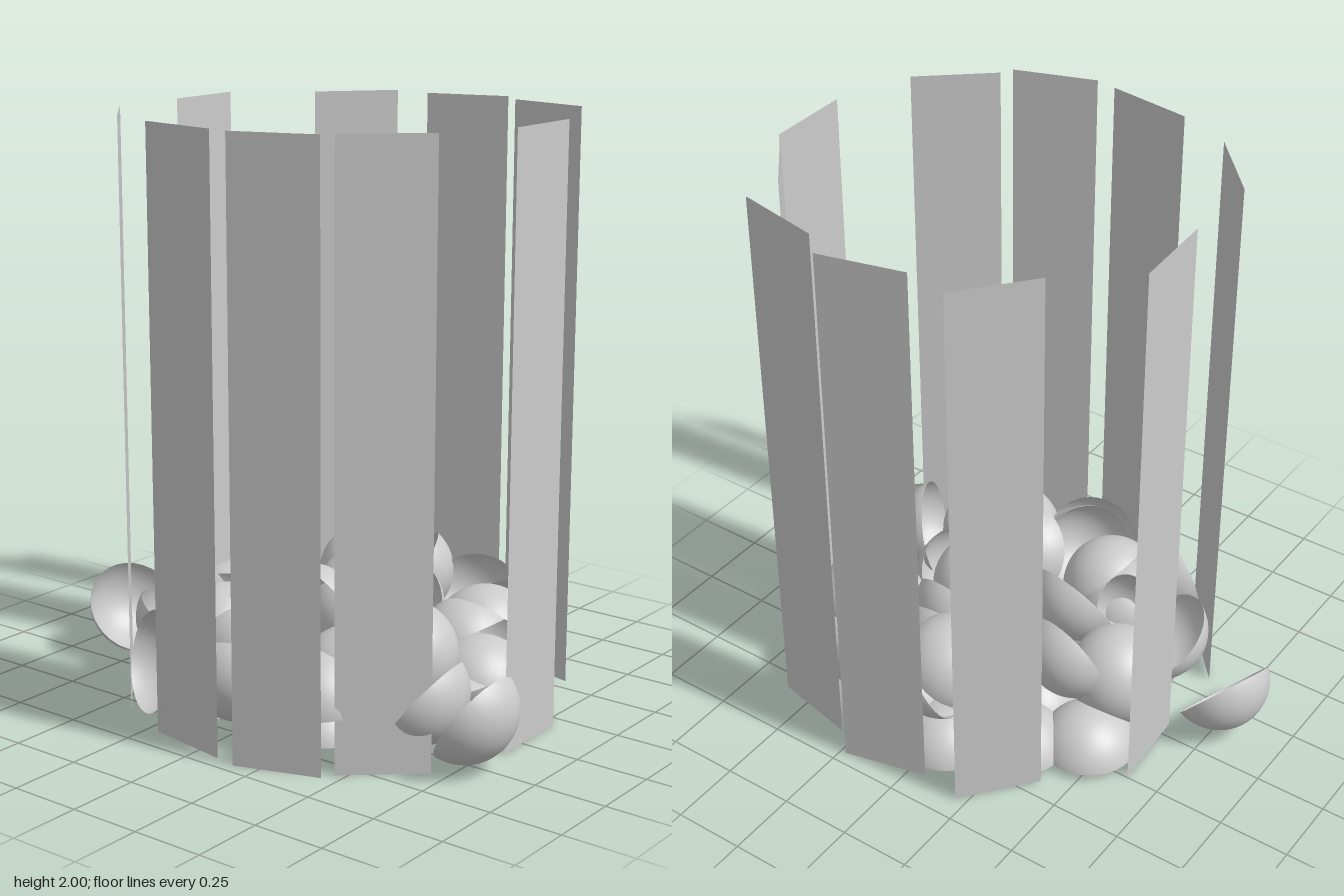
import * as THREE from 'three';

const HEIGHT = 2, RIM = 0.172, RADIUS = 0.177, ARC = 1.331;

// Upright panels: floor corners [x, z] to [x, z], round the ring
const PANELS = [
  [-0.105, 0.792, 0.195, 0.787],
  [0.198, 0.78, 0.433, 0.59],
  [0.56, 0.61, 0.625, 0.31],
  [0.705, 0.23, 0.635, -0.06],
  [0.665, -0.21, 0.433, -0.40],
  [0.245, -0.63, -0.055, -0.612],
  [-0.34, -0.607, -0.572, -0.40],
  [-0.65, -0.208, -0.695, 0.09],
  [-0.709, 0.165, -0.615, 0.445],
  [-0.572, 0.465, -0.375, 0.695],
];

// Bowls lying mouth down on the floor: rim centre [x, z]
const FLOOR_BOWLS = [
  [-0.01, 0.565], [-0.35, 0.245], [-0.38, -0.195], [0.14, -0.16],
  [0.2, -0.44], [0.41, 0.36], [0.46, -0.03], [0, 0.19], [0.34, -0.24],
];

// Tumbled bowls: rim centre, then the direction their round base points
const tumbled = (x, y, z, dx, dy, dz) => ({ p: [x, y, z], d: [dx, dy, dz] });
const BACK_BOWLS = [
  tumbled(-0.15, 0.175, -0.77, 0.25, -0.64, -0.73),
  tumbled(-0.25, 0.2, -0.47, -0.35, -0.6, -0.4),
  tumbled(-0.15, 0.28, -0.37, -0.75, -0.3, -0.3),
  tumbled(-0.575, 0.2, -0.3, 0.85, -0.2, 0.42),
  tumbled(-0.38, 0.18, -0.23, -0.1, 0.9, -0.2),
  tumbled(-0.33, 0.28, -0.16, 0, 0.68, 0.72),
  tumbled(-0.1, 0.33, -0.18, 0.8, -0.45, 0.15),
  tumbled(0.03, 0.22, -0.45, 0.65, 0.6, -0.35),
  tumbled(0.11, 0.28, -0.29, 0.88, -0.3, 0.2),
  tumbled(0.43, 0.3, -0.195, 0, 0.4, -0.9),
];
const MIDDLE_BOWLS = [
  tumbled(-0.53, 0.21, 0.03, -0.8, -0.5, 0.3),
  tumbled(-0.42, 0.27, -0.01, -0.6, -0.25, 0.75),
  tumbled(-0.2, 0.37, 0.1, 0.85, 0.4, 0.1),
  tumbled(0.465, 0.41, -0.08, 0.1, 0.75, -0.5),
  tumbled(0.46, 0.3, 0.03, 0.4, -0.4, 0.6),
  tumbled(0.27, 0.26, -0.06, -0.6, 0.5, 0.4),
  tumbled(0, 0.28, 0.1, -0.85, -0.3, 0.2),
  tumbled(0.05, 0.33, 0.16, 0.75, -0.25, 0.6),
  tumbled(0.18, 0.33, 0.12, 0.85, -0.4, 0.1),
  tumbled(0.25, 0.26, 0.12, 0.85, -0.35, 0),
  tumbled(0.47, 0.26, 0.28, 0.6, -0.6, -0.3),
];
const FRONT_BOWLS = [
  tumbled(0.4, 0.2, 0.43, 0.8, -0.4, 0.2),
  tumbled(0.25, 0.27, 0.5, 0.65, 0.7, 0.1),
  tumbled(0.2, 0.23, 0.42, 0, 0.8, -0.45),
  tumbled(0.11, 0.15, 0.57, 0.3, 0.85, 0.2),
  tumbled(-0.04, 0.2, 0.605, 0.1, -0.85, 0.25),
  tumbled(-0.27, 0.175, 0.78, 0, -0.53, 0.85),
  tumbled(-0.28, 0.19, 0.6, 0.1, -0.55, 0.7),
  tumbled(-0.19, 0.29, 0.505, 0.45, -0.2, 0.88),
  tumbled(-0.05, 0.25, 0.3, 0, -0.5, 0.8),
  tumbled(-0.34, 0.27, 0.38, 0.45, 0.8, 0.15),
  tumbled(-0.47, 0.22, 0.34, -0.2, 0.9, 0.1),
];

export function createModel() {
  const model = new THREE.Group();
  const material = new THREE.MeshStandardMaterial({ color: 0xcccccc, side: THREE.DoubleSide });

  // Ring of thin upright panels
  const ring = new THREE.Group();
  ring.name = 'panelRing';
  for (const [x0, z0, x1, z1] of PANELS) {
    const width = Math.hypot(x1 - x0, z1 - z0);
    const panel = new THREE.Mesh(new THREE.PlaneGeometry(width, HEIGHT), material);
    panel.name = 'panel';
    panel.position.set((x0 + x1) / 2, HEIGHT / 2, (z0 + z1) / 2);
    panel.rotation.y = Math.atan2(z0 - z1, x1 - x0);
    ring.add(panel);
  }

  // Pile of open bowls; the rim lies on the local origin, the base at +y
  const bowlShape = new THREE.SphereGeometry(RADIUS, 32, 12, 0, Math.PI * 2, 0, ARC);
  bowlShape.translate(0, -RADIUS * Math.cos(ARC), 0);
  const up = new THREE.Vector3(0, 1, 0);
  const pile = new THREE.Group();
  pile.name = 'bowlPile';
  const addBowl = ({ p, d }) => {
    const bowl = new THREE.Mesh(bowlShape, material);
    const base = new THREE.Vector3(...d).normalize();
    bowl.name = 'bowl';
    bowl.quaternion.setFromUnitVectors(up, base);
    // Keep the lowest rim point above the floor
    const lowest = RIM * Math.sqrt(1 - base.y * base.y) + 0.025;
    bowl.position.set(p[0], Math.max(p[1], lowest), p[2]);
    pile.add(bowl);
  };
  FLOOR_BOWLS.forEach(([x, z]) => addBowl(tumbled(x, 0.03, z, 0, 1, 0)));
  [...BACK_BOWLS, ...MIDDLE_BOWLS, ...FRONT_BOWLS].forEach(addBowl);

  model.add(ring, pile);
  return model;
}
